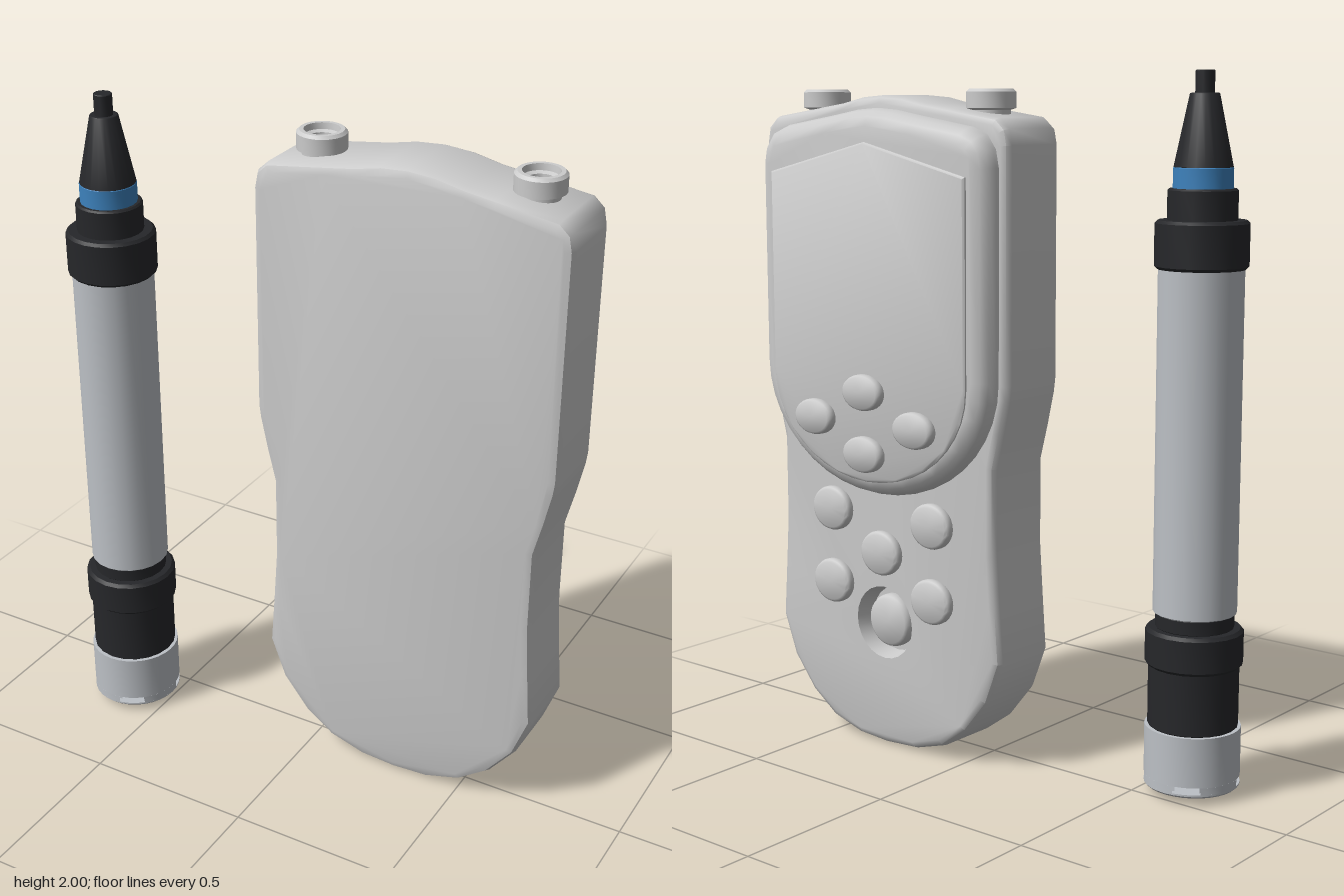
import * as THREE from 'three';
import { toCreasedNormals } from 'three/addons/utils/BufferGeometryUtils.js';

const V = (x, y) => new THREE.Vector2(x, y);
const rad = THREE.MathUtils.degToRad;
const mat = (color) => new THREE.MeshStandardMaterial({ color, side: THREE.DoubleSide });
const grey = mat(0xcccccc), steel = mat(0xbcc0c5), black = mat(0x26272a), blue = mat(0x3d82bd);

function add(parent, name, geometry, material, x = 0, y = 0, z = 0) {
  const mesh = new THREE.Mesh(geometry, material);
  mesh.name = name;
  mesh.position.set(x, y, z);
  parent.add(mesh);
  return mesh;
}

function lathe(pts, sides = 24, start = 0, length = Math.PI * 2, crease = 0.7) {
  const g = new THREE.LatheGeometry(pts.map(([x, y]) => V(x, y)), sides, start, length);
  return toCreasedNormals(g, crease);
}

// Half outline running bottom to top, mirrored into a counter-clockwise loop
function mirrorOutline(half) {
  const right = half.map(([x, y]) => V(x, y));
  const left = half.filter(([x]) => x > 0).reverse().map(([x, y]) => V(-x, y));
  return [...right, ...left];
}

// Lower half-ellipse from the centre line out to the side
function bowl(halfWidth, bottom, top, n = 10) {
  const pts = [];
  for (let i = 0; i <= n; i++) {
    const a = (i / n) * Math.PI / 2;
    pts.push([i ? halfWidth * Math.sin(a) : 0, top - (top - bottom) * Math.cos(a)]);
  }
  return pts;
}

// Outline shrunk by d along its mitred corner normals
function inset(loop, d) {
  return loop.map((p, i) => {
    const a = loop[(i + loop.length - 1) % loop.length], b = loop[(i + 1) % loop.length];
    const e = p.clone().sub(a).normalize(), f = b.clone().sub(p).normalize();
    const n = V(-e.y - f.y, e.x + f.x).normalize();
    return p.clone().addScaledVector(n, d / Math.max(0.5, -n.x * e.y + n.y * e.x));
  });
}

// Slab with rounded edges: the outline is stacked in steps of [inset, z], then capped
function slab(loop, steps, holes = []) {
  const pos = [];
  const rings = steps.map(([d, z]) => ({ z, pts: inset(loop, d) }));
  const put = (p, z) => pos.push(p.x, p.y, z);
  for (let k = 0; k + 1 < rings.length; k++) {
    const a = rings[k], b = rings[k + 1];
    loop.forEach((_, i) => {
      const j = (i + 1) % loop.length;
      put(a.pts[i], a.z); put(a.pts[j], a.z); put(b.pts[j], b.z);
      put(a.pts[i], a.z); put(b.pts[j], b.z); put(b.pts[i], b.z);
    });
  }
  const cap = (ring, cuts, flip) => {
    const all = [ring.pts, ...cuts].flat();
    for (const t of THREE.ShapeUtils.triangulateShape(ring.pts, cuts)) {
      for (const i of flip ? [t[0], t[2], t[1]] : t) put(all[i], ring.z);
    }
  };
  cap(rings[0], [], true);
  cap(rings[rings.length - 1], holes, false);
  const g = new THREE.BufferGeometry();
  g.setAttribute('position', new THREE.Float32BufferAttribute(pos, 3));
  return toCreasedNormals(g, 0.75);
}

// Soft-edged round key, unit radius, lying in the xy plane and rising along z
function keyGeometry(rx, ry, base, top) {
  const h = top - base;
  const g = lathe([[0.96, 0], [1, h * 0.2], [1, h * 0.6], [0.95, h * 0.85], [0.85, h], [0, h]], 28, 0, Math.PI * 2, 1);
  g.rotateX(Math.PI / 2);
  g.scale(rx, ry, 1);
  g.translate(0, 0, base);
  return toCreasedNormals(g, 1);
}

function createHandset() {
  const handset = new THREE.Group();
  handset.name = 'handset';

  // Waisted case with a round well cut in its keypad side
  const well = { y: 0.385, r: 0.11, sides: 24 };
  const hole = [];
  for (let i = 0; i < well.sides; i++) {
    const a = -i / well.sides * Math.PI * 2;
    hole.push(V(well.r * Math.cos(a), well.y + well.r * Math.sin(a)));
  }
  const caseOutline = mirrorOutline([
    [0, 0.005], [0.11, 0.012], [0.22, 0.045], [0.31, 0.11], [0.39, 0.21], [0.437, 0.335],
    [0.425, 0.5], [0.415, 0.65], [0.415, 0.9], [0.44, 1.0], [0.462, 1.1], [0.467, 1.14],
    [0.467, 1.8], [0.458, 1.845], [0.425, 1.875], [0.25, 1.9], [0.16, 1.913], [0.08, 1.93], [0, 1.936]]);
  add(handset, 'case', slab(caseOutline, [[0.025, -0.075], [0.008, -0.068], [0, -0.05],
    [0, 0.14], [0.007, 0.157], [0.022, 0.164]], [hole]), grey);
  const wellMesh = add(handset, 'keyWell', lathe([[0, -0.06], [well.r - 0.012, -0.06],
    [well.r, 0]], well.sides), grey, 0, well.y, 0.164);
  wellMesh.rotation.x = Math.PI / 2;

  // Raised shield and the thin display plate on it
  const shield = mirrorOutline([...bowl(0.44, 0.78, 1.15),
    [0.44, 1.74], [0.43, 1.79], [0.4, 1.83], [0.35, 1.85], [0.17, 1.878], [0.07, 1.895], [0, 1.9]]);
  add(handset, 'shield', slab(shield, [[0, 0.155], [0, 0.175], [0.008, 0.198],
    [0.024, 0.216], [0.05, 0.226]]), grey);
  const plate = mirrorOutline([...bowl(0.375, 0.825, 1.13), [0.375, 1.715], [0, 1.805]]);
  add(handset, 'displayPlate', slab(plate, [[0, 0.22], [0, 0.231], [0.006, 0.236]]), grey);

  // Keys on the display plate
  const upper = keyGeometry(0.075, 0.053, 0.23, 0.262);
  for (const [x, y] of [[-0.195, 1.0], [0.195, 1.0], [0, 1.09], [0, 0.908]]) {
    add(handset, 'upperKey', upper, grey, x, y);
  }
  // Keys on the grip
  const lower = keyGeometry(0.075, 0.067, 0.16, 0.19);
  for (const [x, y] of [[-0.197, 0.71], [0.197, 0.71], [0, 0.6], [-0.197, 0.485], [0.197, 0.485]]) {
    add(handset, 'lowerKey', lower, grey, x, y);
  }
  add(handset, 'sunkenKey', keyGeometry(0.08, 0.08, 0.104, 0.15), grey, 0, well.y);

  // Hollow sockets on the top edge
  const socket = lathe([[0.055, 1.84], [0.055, 1.895], [0.07, 1.9], [0.07, 1.945], [0.062, 1.953],
    [0.05, 1.953], [0.048, 1.935], [0.036, 1.93], [0.036, 1.9], [0, 1.9]]);
  for (const side of [-1, 1]) add(handset, 'socket', socket, grey, side * 0.318, 0, 0.048);

  // The keypad side looks towards the back
  handset.position.x = 0.29;
  handset.rotation.y = Math.PI;
  return handset;
}

function createProbe() {
  const probe = new THREE.Group();
  probe.name = 'probe';
  const sides = 20;
  // Solid turned part with lightly chamfered ends
  const turned = (name, y0, y1, r0, r1, material, c = 0.005) => add(probe, name,
    lathe([[0, y0], [r0 - c, y0], [r0, y0 + c], [r1, y1 - c], [r1 - c, y1], [0, y1]], sides), material);

  // Hollow end cap with four slots near its base
  const r = 0.135, ri = 0.118;
  const band = (y0, y1) => [[ri, y0], [r, y0], [r, y1], [ri, y1], [ri, y0]];
  add(probe, 'endCapBase', lathe([[0, 0.027], [r - 0.006, 0.027], [r, 0.033], [r, 0.038], [0, 0.038]], 32), steel);
  add(probe, 'endCapWall', lathe(band(0.058, 0.2), 32), steel);
  for (let i = 0; i < 4; i++) {
    add(probe, 'endCapPost', lathe(band(0.038, 0.058), 6, rad(44 + i * 90), rad(56)), steel);
  }

  turned('lowerSleeve', 0.198, 0.38, 0.127, 0.127, black);
  turned('lowerCollar', 0.375, 0.483, 0.137, 0.137, black, 0.009);
  turned('lowerNeck', 0.48, 0.527, 0.11, 0.11, black);
  turned('tube', 0.525, 1.478, 0.117, 0.117, steel, 0.002);
  turned('upperCollar', 1.475, 1.606, 0.128, 0.128, black, 0.008);
  turned('upperNeck', 1.6, 1.69, 0.095, 0.095, black);
  turned('colourRing', 1.685, 1.746, 0.081, 0.081, blue, 0.002);
  turned('strainRelief', 1.744, 1.94, 0.08, 0.04, black, 0.002);
  turned('cableStub', 1.935, 2.0, 0.026, 0.026, black, 0.002);
  probe.position.set(-0.625, 0, 0.115);
  return probe;
}

export function createModel() {
  const model = new THREE.Group();
  model.name = 'handheldMeterWithProbe';
  model.add(createHandset(), createProbe());
  return model;
}
